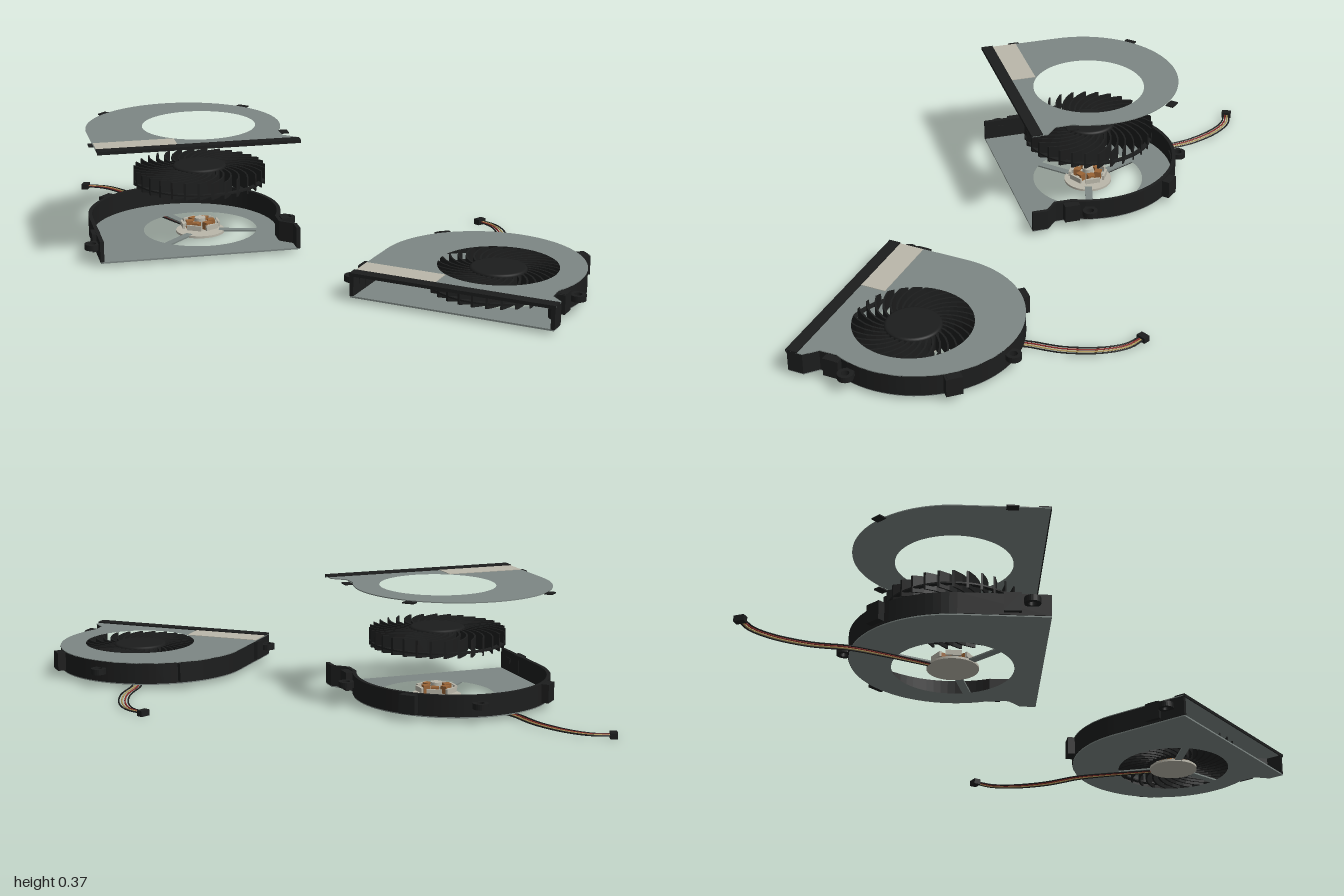
import * as THREE from 'three';
import { mergeGeometries } from 'three/addons/utils/BufferGeometryUtils.js';

const mat = (name, color, side = THREE.FrontSide) => {
  const m = new THREE.MeshStandardMaterial({ color, side });
  m.name = name;
  return m;
};

export function createModel() {
  const M = {
    metal: mat('grey metal', 0x7d8784),
    black: mat('black plastic', 0x1c1d1d),
    label: mat('pale label', 0xbab7aa),
    copper: mat('copper', 0x9a6436),
    red: mat('red wire', 0x8c2c28),
    yellow: mat('yellow wire', 0xb39a5c),
  };
  const add = (parent, name, geo, material, x = 0, y = 0, z = 0, ry = 0) => {
    const mesh = new THREE.Mesh(geo, material);
    mesh.name = name;
    mesh.position.set(x, y, z);
    mesh.rotation.y = ry;
    parent.add(mesh);
    return mesh;
  };
  const box = (w, h, d) => new THREE.BoxGeometry(w, h, d);
  const cyl = (r, h, n = 40, r2 = r) => new THREE.CylinderGeometry(r2, r, h, n);

  // Flat plan shape (plan y = -z) raised into a slab standing on y = 0
  const slab = (points, h, holes = []) => {
    const shape = new THREE.Shape(points);
    for (const [x, y, r] of holes) {
      shape.holes.push(new THREE.Path().absarc(x, y, r, 0, Math.PI * 2, true));
    }
    const g = new THREE.ExtrudeGeometry(shape, { depth: h, bevelEnabled: false, curveSegments: 32 });
    return g.rotateX(-Math.PI / 2);
  };
  const circle = (r, n = 48) => Array.from({ length: n }, (_, i) =>
    new THREE.Vector2(r * Math.cos(i / n * Math.PI * 2), r * Math.sin(i / n * Math.PI * 2)));

  // Housing outline: round back, straight left side, flared outlet corner on the right
  const outline = (inset) => {
    const pts = [new THREE.Vector2(-0.358 + inset, -0.265)];
    const r = 0.308 - inset;
    for (let i = 0; i <= 48; i++) {
      const a = THREE.MathUtils.degToRad(180 - 204 * i / 48);
      pts.push(new THREE.Vector2(-0.05 + r * Math.cos(a), r * Math.sin(a)));
    }
    for (const [x, y] of [[0.232, -0.18], [0.27, -0.215], [0.27, -0.265]]) {
      pts.push(new THREE.Vector2(x - inset, y));
    }
    return pts;
  };

  const lugs = [[-0.375, 0.21], [-0.005, -0.32], [0.272, 0.075]];
  const clips = [[-0.27, -0.228], [0.185, -0.222], [-0.358, 0.155], [0.248, 0.13]];
  const outward = (x, z) => (z > 0.1 ? (x < 0 ? -Math.PI / 2 : Math.PI / 2) : Math.atan2(x + 0.05, z));

  // Shared geometries
  const floorGeo = slab(outline(0.002), 0.005, [[0, 0, 0.182]]);
  const lidGeo = slab(outline(0), 0.003, [[0, 0, 0.18]]);
  const wallGeo = slab([...outline(0), ...outline(0.012).reverse()], 0.066);
  const lugGeo = slab(circle(0.024, 24), 0.018, [[0, 0, 0.012]]);

  function makeBase() {
    const base = new THREE.Group();
    base.name = 'base';
    add(base, 'floor', floorGeo, M.metal, 0, 0.012, 0);
    add(base, 'wall', wallGeo, M.black, 0, 0.016, 0);
    for (const [x, z] of lugs) {
      add(base, 'screwLug', lugGeo, M.black, x, 0.044, z);
      const a = outward(x, z);
      add(base, 'lugNeck', box(0.03, 0.018, 0.014), M.black,
        x - 0.024 * Math.sin(a), 0.053, z - 0.024 * Math.cos(a), a);
    }
    for (const [x, z] of clips) {
      add(base, 'clipBlock', box(0.05, 0.058, 0.026), M.black, x, 0.052, z, outward(x, z));
    }
    // Motor mount and spokes
    add(base, 'motorPlate', cyl(0.078, 0.007), M.label, 0, 0.0125, 0);
    for (const deg of [113, 225, 345]) {
      const a = THREE.MathUtils.degToRad(deg);
      add(base, 'spoke', box(0.13, 0.005, 0.024), M.metal,
        0.125 * Math.cos(a), 0.0145, -0.125 * Math.sin(a), a);
    }
    // Stator with copper windings
    add(base, 'bearingSleeve', cyl(0.018, 0.04, 24), M.label, 0, 0.036, 0);
    for (let i = 0; i < 6; i++) {
      const a = i * Math.PI / 3;
      const at = (r) => [r * Math.cos(a), 0.036, -r * Math.sin(a), a];
      add(base, 'statorTooth', box(0.042, 0.012, 0.012), M.label, ...at(0.037));
      add(base, 'winding', box(0.022, 0.024, 0.023), M.copper, ...at(0.035));
      add(base, 'statorShoe', box(0.007, 0.016, 0.048), M.label, ...at(0.057));
    }
    makeCable(base);
    return base;
  }

  // Four wires run under the base and sweep out to a plug
  function makeCable(parent) {
    const path = new THREE.CatmullRomCurve3([
      [-0.03, -0.07], [-0.085, -0.19], [-0.128, -0.30], [-0.144, -0.407],
      [-0.187, -0.514], [-0.24, -0.578], [-0.295, -0.602],
    ].map(([x, z]) => new THREE.Vector3(x, 0.009, z)));
    [M.black, M.red, M.yellow, M.black].forEach((material, i) => {
      const pts = [];
      for (let k = 0; k <= 14; k++) {
        const t = path.getTangent(k / 14);
        const off = (i - 1.5) * (0.006 + 0.004 * Math.sin(Math.PI * k / 14));
        pts.push(path.getPoint(k / 14).add(new THREE.Vector3(-t.z * off, 0, t.x * off)));
      }
      add(parent, 'wire', new THREE.TubeGeometry(new THREE.CatmullRomCurve3(pts), 40, 0.0025, 6), material);
    });
    add(parent, 'plug', box(0.022, 0.018, 0.032), M.black, -0.296, 0.009, -0.604, -0.4);
  }

  // Swept blade from hub to rim
  function bladeGeometry() {
    const front = [], back = [];
    for (let i = 0; i <= 6; i++) {
      const t = i / 6, r = 0.075 + 0.136 * t, a = -0.75 * t, w = 0.0035 / r;
      front.push(new THREE.Vector2(r * Math.cos(a + w), r * Math.sin(a + w)));
      back.unshift(new THREE.Vector2(r * Math.cos(a - w), r * Math.sin(a - w)));
    }
    return slab([...back, ...front], 0.054);
  }

  const blades = mergeGeometries(Array.from({ length: 31 }, (_, i) =>
    bladeGeometry().rotateY(i / 31 * Math.PI * 2)));
  const rimGeo = slab(circle(0.211), 0.005, [[0, 0, 0.196]]);
  // Cup-shaped hub, open underneath so it fits over the stator
  const hubGeo = new THREE.LatheGeometry([
    [0.070, 0.052], [0.070, 0], [0.086, 0], [0.086, 0.053], [0.083, 0.058], [0.077, 0.060], [0, 0.060],
  ].map(([x, y]) => new THREE.Vector2(x, y)), 48);
  const hubFloor = new THREE.CircleGeometry(0.071, 40).rotateX(Math.PI / 2);

  function makeImpeller() {
    const g = new THREE.Group();
    g.name = 'impeller';
    add(g, 'blades', blades, M.black);
    add(g, 'bladeRing', rimGeo, M.black, 0, 0.012, 0);
    add(g, 'hub', hubGeo, M.black);
    add(g, 'hubInside', hubFloor, M.black, 0, 0.052, 0);
    return g;
  }

  function makeLid() {
    const g = new THREE.Group();
    g.name = 'lid';
    add(g, 'coverPlate', lidGeo, M.metal);
    add(g, 'foamStrip', box(0.63, 0.004, 0.036), M.black, -0.043, 0.005, 0.249);
    add(g, 'foamLip', box(0.63, 0.010, 0.003), M.black, -0.043, 0.002, 0.2665);
    add(g, 'label', box(0.25, 0.002, 0.08), M.label, -0.231, 0.0035, 0.19);
    for (const [x, z] of clips) {
      add(g, 'clipTab', box(0.036, 0.004, 0.026), M.black, x, -0.001, z, outward(x, z));
    }
    return g;
  }

  function makeFan(name, x, z, turn, impellerY, lidY) {
    const fan = new THREE.Group();
    fan.name = name;
    const impeller = makeImpeller(), lid = makeLid();
    impeller.position.y = impellerY;
    lid.position.y = lidY;
    fan.add(makeBase(), impeller, lid);
    fan.position.set(x, 0, z);
    fan.rotation.y = turn;
    return fan;
  }

  const model = new THREE.Group();
  model.name = 'blowerFans';
  model.add(
    makeFan('assembledFan', 0.70, 0.14, 0, 0.022, 0.081),
    makeFan('explodedFan', -0.364, 0.04, THREE.MathUtils.degToRad(40), 0.175, 0.36),
  );
  return model;
}
